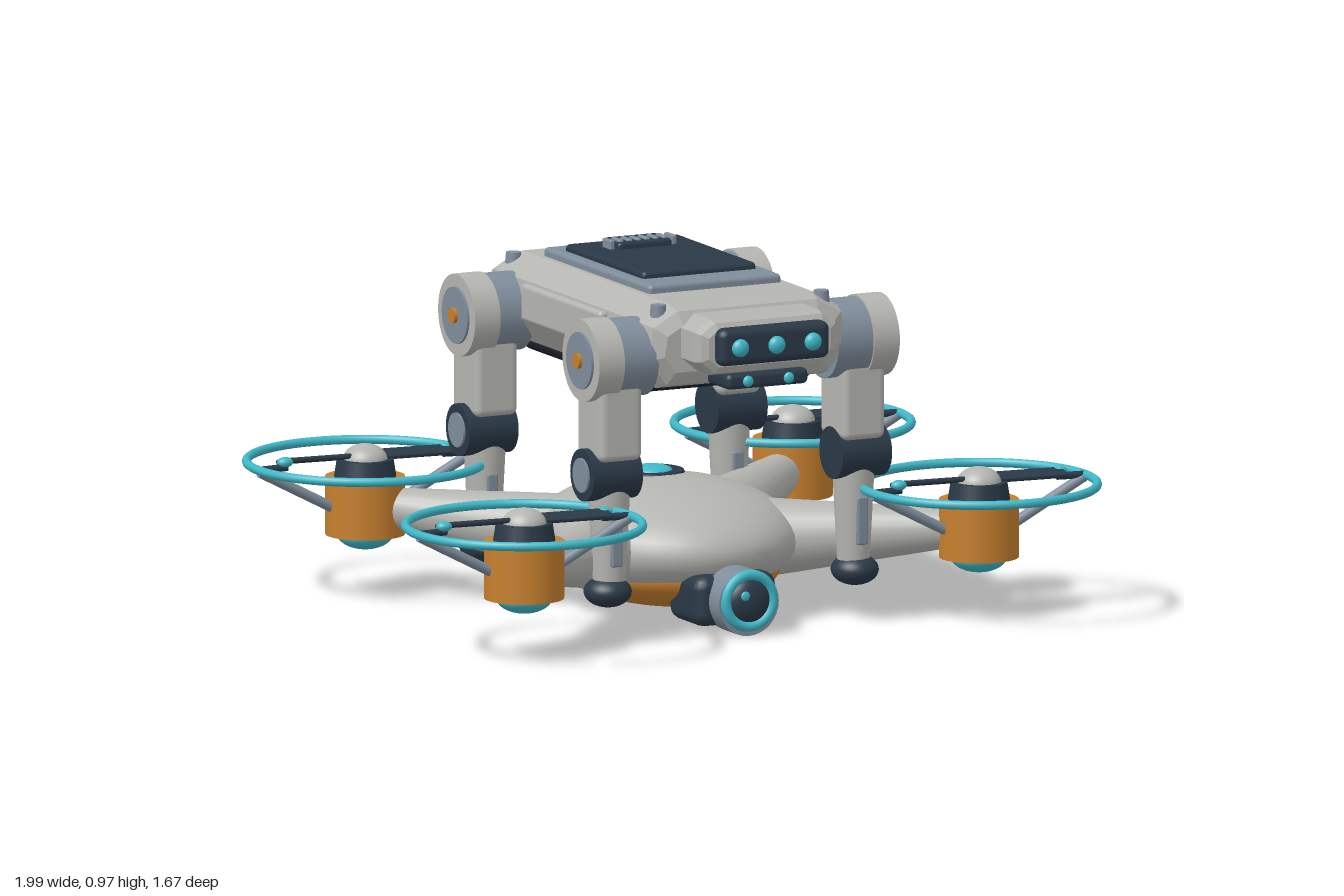
import * as THREE from 'three';
import { RoundedBoxGeometry } from 'three/addons/geometries/RoundedBoxGeometry.js';

const mat = (name, color) => {
  const m = new THREE.MeshStandardMaterial({ color });
  m.name = name;
  return m;
};
const shell = mat('light grey shell', 0xb4b4b0);
const steel = mat('blue grey steel', 0x7f8d9b);
const dark = mat('dark slate', 0x2a3947);
const belly = mat('black belly', 0x1c2129);
const orange = mat('orange', 0xc67f2e);
const teal = mat('teal', 0x3fb8c8);

function add(parent, name, geo, material, x = 0, y = 0, z = 0) {
  const m = new THREE.Mesh(geo, material);
  m.name = name;
  m.position.set(x, y, z);
  parent.add(m);
  return m;
}
function group(parent, name, x = 0, y = 0, z = 0) {
  const g = new THREE.Group();
  g.name = name;
  g.position.set(x, y, z);
  parent.add(g);
  return g;
}
const rbox = (w, h, d, r = 0.015) => new RoundedBoxGeometry(w, h, d, 2, r);
const ball = (rx, ry, rz) => new THREE.SphereGeometry(1, 40, 24).scale(rx, ry, rz);
// Cylinder lying along a chosen axis; r1 is the end at the positive side
function cyl(r1, r2, len, axis = 'y', sides = 32) {
  const g = new THREE.CylinderGeometry(r1, r2, len, sides);
  if (axis === 'x') g.rotateZ(-Math.PI / 2);
  if (axis === 'z') g.rotateX(Math.PI / 2);
  return g;
}
// Tapered rod between two points
function rod(parent, name, a, b, ra, rb, material) {
  const p = new THREE.Vector3(...a), q = new THREE.Vector3(...b);
  const dir = q.clone().sub(p);
  const m = add(parent, name, new THREE.CylinderGeometry(rb, ra, dir.length(), 24), material);
  m.position.copy(p).add(q).multiplyScalar(0.5);
  m.quaternion.setFromUnitVectors(new THREE.Vector3(0, 1, 0), dir.normalize());
  return m;
}
// Mirrored cross-section drawn from top to bottom, run along z with chamfered ends
function hull(half, z0, z1, bevel, thick) {
  const pts = [...half, ...half.map(([x, y]) => [-x, y]).reverse()].map(p => new THREE.Vector2(...p));
  const geo = new THREE.ExtrudeGeometry(new THREE.Shape(pts), {
    depth: z1 - z0 - 2 * thick, bevelEnabled: true, bevelSegments: 2,
    bevelSize: bevel, bevelThickness: thick, bevelOffset: -bevel,
  });
  return geo.translate(0, 0, z0 + thick);
}

function buildRotor(parent, x, z) {
  const g = group(parent, 'rotor', x, 0, z);
  add(g, 'motor', cyl(0.106, 0.106, 0.155), orange, 0, 0.243, 0);
  add(g, 'motorLamp', ball(0.075, 0.042, 0.075), teal, 0, 0.167, 0);
  add(g, 'motorCap', cyl(0.075, 0.083, 0.05), dark, 0, 0.342, 0);
  add(g, 'spinner', ball(0.06, 0.045, 0.06), shell, 0, 0.362, 0);
  add(g, 'guardRing', new THREE.TorusGeometry(0.313, 0.012, 10, 72).rotateX(Math.PI / 2), teal, 0, 0.36, 0);
  const blades = group(g, 'propeller', 0, 0.375, 0);
  blades.rotation.y = -0.08;
  for (const s of [-1, 1]) {
    const blade = add(blades, 'blade', rbox(0.2, 0.014, 0.05, 0.006), dark, s * 0.145, 0, 0);
    blade.rotation.x = s * 0.25;
    add(g, 'bladeTip', ball(0.022, 0.014, 0.018), teal, s * 0.236, 0.376, 0);
    rod(g, 'guardStrut', [s * 0.09, 0.24, 0], [s * 0.31, 0.355, 0], 0.014, 0.014, steel);
    rod(g, 'guardPin', [s * 0.23, 0.362, 0], [s * 0.313, 0.36, 0], 0.01, 0.01, dark);
  }
}

function buildLeg(parent, s, z) {
  const g = group(parent, 'leg', 0, 0, z);
  add(g, 'hipJoint', cyl(0.105, 0.105, 0.12, 'x'), steel, s * 0.325, 0.763, 0);
  add(g, 'hipHousing', cyl(0.11, 0.11, 0.075, 'x'), shell, s * 0.405, 0.763, 0);
  add(g, 'hipDisc', cyl(0.076, 0.076, 0.008, 'x'), steel, s * 0.445, 0.763, 0);
  add(g, 'hipBolt', cyl(0.021, 0.021, 0.02, 'x', 16), orange, s * 0.449, 0.763, 0);
  add(g, 'upperLeg', rbox(0.125, 0.24, 0.15, 0.02), shell, s * 0.358, 0.615, 0);
  add(g, 'knee', cyl(0.07, 0.07, 0.145, 'x'), dark, s * 0.367, 0.455, 0);
  add(g, 'kneeDisc', cyl(0.046, 0.046, 0.01, 'x'), steel, s * 0.44, 0.455, 0);
  add(g, 'lowerLeg', cyl(0.057, 0.043, 0.27), shell, s * 0.36, 0.295, 0);
  add(g, 'shinStrip', rbox(0.032, 0.13, 0.02, 0.006), steel, s * 0.362, 0.275, 0.045);
  add(g, 'foot', ball(0.063, 0.042, 0.066), dark, s * 0.364, 0.138, 0);
}

function buildFlyer(root) {
  const g = group(root, 'flyingPlatform');
  add(g, 'bodyDome', ball(0.34, 0.155, 0.4), shell, 0, 0.2, 0);
  add(g, 'bodyUnderside', ball(0.29, 0.11, 0.36), orange, 0, 0.13, 0);
  add(g, 'beaconBase', cyl(0.085, 0.095, 0.03), dark, 0, 0.342, -0.085);
  add(g, 'beacon', ball(0.055, 0.016, 0.055), teal, 0, 0.355, -0.085);
  for (const s of [-1, 1]) {
    for (const [x, z, ix, iz] of [[0.67, 0.505, 0.22, 0.14], [0.63, -0.515, 0.22, -0.14]]) {
      rod(g, 'arm', [s * ix, 0.195, iz], [s * (x - 0.05), 0.24, z - Math.sign(z) * 0.045], 0.105, 0.052, shell);
      buildRotor(g, s * x, z);
    }
  }
  // Camera under the nose
  add(g, 'cameraHousing', rbox(0.24, 0.135, 0.19, 0.035), dark, 0, 0.09, 0.335);
  add(g, 'cameraBarrel', cyl(0.088, 0.088, 0.09, 'z'), steel, 0, 0.093, 0.445);
  add(g, 'cameraRing', new THREE.TorusGeometry(0.069, 0.014, 12, 40), teal, 0, 0.1, 0.492);
  add(g, 'cameraLens', ball(0.06, 0.06, 0.03), dark, 0, 0.1, 0.488);
  add(g, 'lensGlint', ball(0.013, 0.013, 0.006), teal, -0.022, 0.117, 0.514);
}

function buildWalker(root) {
  const g = group(root, 'walkingRobot');
  add(g, 'torso', hull([[0.21, 0.905], [0.29, 0.86], [0.305, 0.76], [0.245, 0.68]], -0.495, 0.5, 0.05, 0.07), shell);
  add(g, 'bellyPlate', rbox(0.5, 0.07, 0.74, 0.025), belly, 0, 0.692, 0.01);
  add(g, 'topFrame', rbox(0.39, 0.04, 0.63, 0.012), steel, 0, 0.908, -0.022);
  add(g, 'topHatch', rbox(0.335, 0.04, 0.465, 0.012), dark, 0, 0.926, -0.032);
  add(g, 'ventBlock', rbox(0.16, 0.03, 0.1, 0.01), dark, 0, 0.949, -0.17);
  for (let i = 0; i < 8; i++) {
    add(g, 'ventFin', rbox(0.015, 0.03, 0.05, 0.005), steel, -0.091 + i * 0.026, 0.955, -0.158);
  }
  for (const s of [-1, 1]) {
    add(g, 'sidePanel', rbox(0.03, 0.1, 0.47, 0.012), shell, s * 0.301, 0.808, 0.005);
    for (const z of [-0.42, 0.435]) {
      add(g, 'cornerBolt', cyl(0.02, 0.023, 0.035, 'y', 16), steel, s * 0.24, 0.887, z);
    }
    for (const z of [0.385, -0.35]) buildLeg(g, s, z);
  }
  // Head with a visor and a small chin sensor
  add(g, 'head', hull([[0.16, 0.883], [0.205, 0.85], [0.205, 0.77], [0.16, 0.733]], 0.4, 0.615, 0.025, 0.035), shell);
  add(g, 'visor', rbox(0.325, 0.1, 0.08, 0.022), dark, 0, 0.813, 0.612);
  for (const x of [-0.107, 0, 0.107]) add(g, 'eye', ball(0.024, 0.024, 0.018), teal, x, 0.813, 0.654);
  add(g, 'chinSensor', rbox(0.24, 0.042, 0.13, 0.014), dark, 0, 0.712, 0.54);
  for (const x of [-0.06, 0.06]) add(g, 'chinLamp', ball(0.015, 0.015, 0.01), teal, x, 0.712, 0.605);
}

export function createModel() {
  const root = new THREE.Group();
  root.name = 'robotOnFlyingPlatform';
  buildFlyer(root);
  buildWalker(root);
  return root;
}
